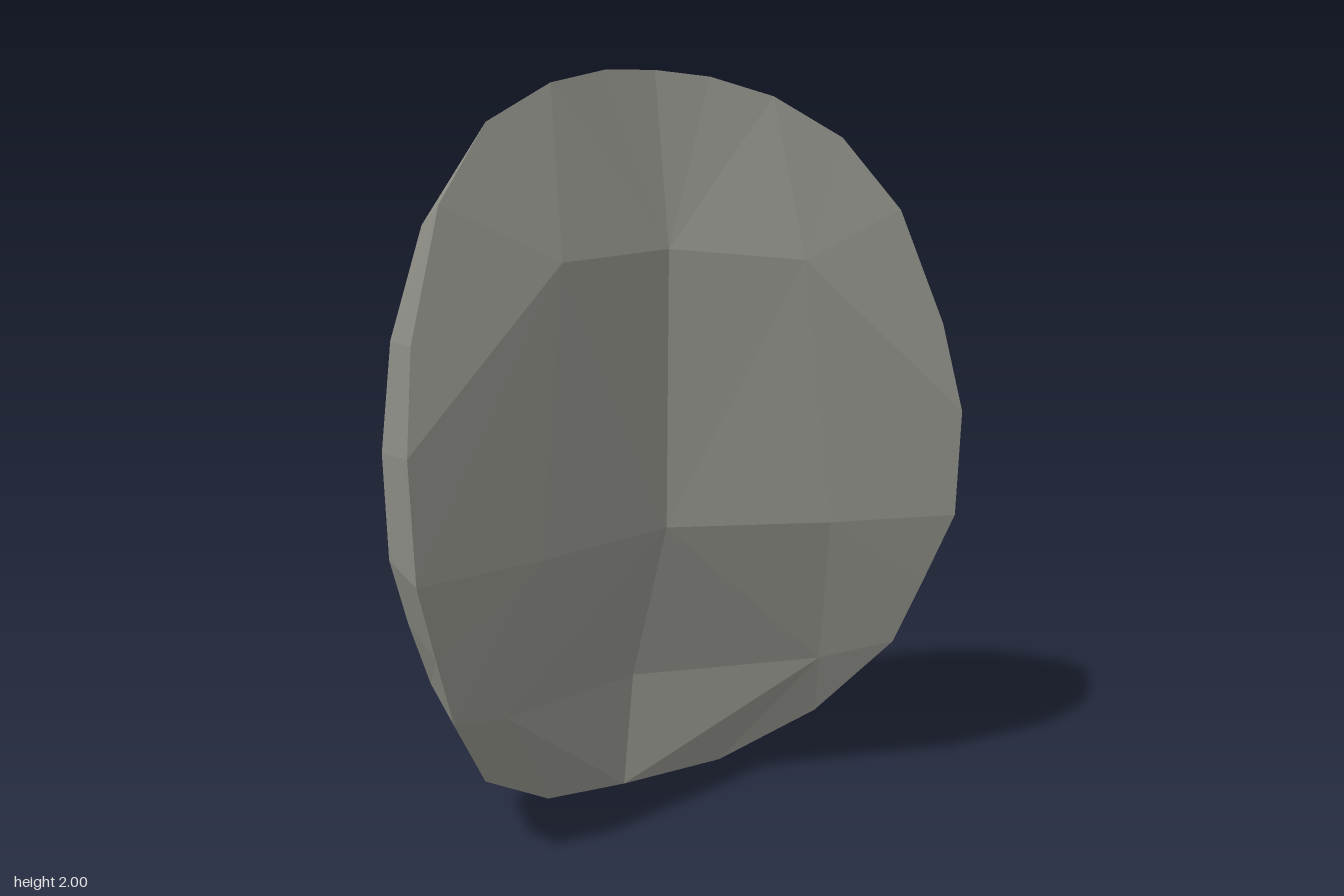
import * as THREE from 'three';

const grey = new THREE.MeshStandardMaterial({ name: 'greyShell', color: 0x8f8f88, flatShading: true });
const blue = new THREE.MeshStandardMaterial({ name: 'blueCheek', color: 0x405b8c });

// Half outline of the rim, from crown to chin
const rim = [
  [0, 2, 0.1], [0.16, 1.99, 0.12], [0.34, 1.945, 0.16], [0.54, 1.84, 0.21], [0.695, 1.645, 0.28],
  [0.8, 1.33, 0.35], [0.835, 1.085, 0.4], [0.82, 0.79, 0.4], [0.755, 0.6, 0.35], [0.69, 0.415, 0.3],
  [0.535, 0.19, 0.14], [0.285, 0.045, 0.01], [0, 0.005, -0.06],
];
// Edge where the side band meets the face
const band = [
  [0, 1.89, -0.135], [0.14, 1.885, -0.125], [0.29, 1.85, -0.1], [0.47, 1.76, -0.06], [0.61, 1.6, -0.02],
  [0.72, 1.32, 0.03], [0.765, 1.05, 0.07], [0.765, 0.79, 0.1], [0.715, 0.62, 0.09], [0.65, 0.45, 0.07],
  [0.5, 0.22, -0.05], [0.25, 0.06, -0.17], [0, 0.03, -0.19],
];
// Centre line of the face [y, z]
const spine = [
  [1.89, -0.135], [1.84, -0.16], [1.76, -0.195], [1.67, -0.235], [1.5, -0.28], [1.34, -0.315], [1.01, -0.365],
  [0.77, -0.355], [0.62, -0.375], [0.53, -0.39], [0.32, -0.355], [0.06, -0.215], [0.03, -0.19],
];
// Cross-section: share of the width against share of the depth
const section = [[1, 0], [0.8, 0.44], [0.52, 0.78], [0.26, 0.92], [0, 1]];
// Eye socket edge with the grid node each point replaces: [row, column, x, y, z]
const socket = [
  [6, 2, 0.58, 0.97, -0.14], [7, 2, 0.62, 0.84, -0.09], [8, 2, 0.57, 0.74, -0.13], [8, 3, 0.47, 0.68, -0.22],
  [8, 4, 0.36, 0.71, -0.28], [7, 4, 0.32, 0.83, -0.295], [6, 4, 0.36, 0.97, -0.28], [6, 3, 0.46, 1.02, -0.24],
];
const eyeNormal = new THREE.Vector3(0.62, 0, -0.78).normalize();
const eyeCentre = new THREE.Vector3(0.455, 0.84, -0.18);

// Triangles given for the +x half; the other half is mirrored
function mirroredMesh(name, triangles, material, smooth) {
  const out = [];
  for (const s of [1, -1]) {
    for (const [a, b, c] of triangles) {
      for (const p of s > 0 ? [a, b, c] : [a, c, b]) out.push(p[0] * s, p[1], p[2]);
    }
  }
  const g = new THREE.BufferGeometry();
  g.setAttribute('position', new THREE.Float32BufferAttribute(out, 3));
  g.computeVertexNormals();
  const m = new THREE.Mesh(g, material);
  m.name = name;
  return m;
}
const same = (a, b) => Math.hypot(a[0] - b[0], a[1] - b[1], a[2] - b[2]) < 1e-6;
function tri(list, a, b, c) {
  if (!same(a, b) && !same(b, c) && !same(a, c)) list.push([a, b, c]);
}
function quad(list, a, b, c, d) {
  tri(list, a, b, c);
  tri(list, a, c, d);
}

function outerShell() {
  const grid = rim.map((r, i) => {
    const b = band[i], [sy, sz] = spine[i];
    return [r, ...section.map(([t, f]) => [b[0] * t, b[1] + (sy - b[1]) * f, b[2] + (sz - b[2]) * f])];
  });
  for (const [i, j, ...p] of socket) grid[i][j] = p;
  const tris = [];
  for (let i = 0; i < grid.length - 1; i++) {
    for (let j = 0; j < 5; j++) {
      if ((i === 6 || i === 7) && (j === 2 || j === 3)) continue; // socket opening
      quad(tris, grid[i][j], grid[i + 1][j], grid[i + 1][j + 1], grid[i][j + 1]);
    }
  }
  return mirroredMesh('maskFace', tris, grey);
}

function eyeSockets() {
  const tris = [];
  const edge = socket.map((p) => p.slice(2));
  const floor = eyeCentre.clone().addScaledVector(eyeNormal, -0.03);
  const inner = edge.map((p) => {
    const d = new THREE.Vector3(...p).sub(eyeCentre);
    d.addScaledVector(eyeNormal, -d.dot(eyeNormal));
    return d.multiplyScalar(0.74).add(floor).toArray();
  });
  edge.forEach((p, k) => {
    const n = (k + 1) % edge.length;
    quad(tris, p, edge[n], inner[n], inner[k]);
    tri(tris, floor.toArray(), inner[k], inner[n]);
  });
  return mirroredMesh('eyeSockets', tris, grey);
}

// Hollow side: shallow valley down the middle
function innerShell() {
  const r = rim;
  const a0 = [0, 1.54, 0.17], a1 = [0.37, 1.51, 0.27];
  const b0 = [0, 0.8, 0.163], b1 = [0.45, 0.79, 0.3];
  const c0 = [0, 0.345, -0.01], c1 = [0.5, 0.37, 0.2];
  const tris = [
    [a0, r[1], r[0]], [a0, r[2], r[1]], [a0, a1, r[2]], [a0, b0, a1], [b0, b1, a1],
    [a1, b1, r[7]], [b0, c0, c1], [b0, c1, b1], [b1, c1, r[9]], [c0, r[12], c1], [c1, r[12], r[11]],
  ];
  for (let i = 2; i < 7; i++) tris.push([a1, r[i + 1], r[i]]);
  for (let i = 7; i < 9; i++) tris.push([b1, r[i + 1], r[i]]);
  for (let i = 9; i < 11; i++) tris.push([c1, r[i + 1], r[i]]);
  return mirroredMesh('maskInside', tris, grey);
}

// Cheek patches laid just above the face surface
function cheekPatches(shell) {
  const lower = [[0.31, 0.55], [0.325, 0.45], [0.34, 0.365], [0.36, 0.345], [0.39, 0.36], [0.44, 0.46],
    [0.52, 0.545], [0.575, 0.575], [0.592, 0.598]];
  const ray = new THREE.Raycaster();
  const onFace = (x, y) => {
    ray.set(new THREE.Vector3(x, y, -2), new THREE.Vector3(0, 0, 1));
    const hit = ray.intersectObject(shell)[0];
    return [x + 0.004, y, (hit ? hit.point.z : -0.2) - 0.006];
  };
  const cols = [];
  for (let i = 0; i < lower.length - 1; i++) {
    for (let k = 0; k < 3; k++) {
      const x = THREE.MathUtils.lerp(lower[i][0], lower[i + 1][0], k / 3);
      const y = THREE.MathUtils.lerp(lower[i][1], lower[i + 1][1], k / 3);
      const top = 0.615 - (i === 0 && k === 0 ? 0.012 : 0);
      cols.push(Array.from({ length: 13 }, (_, v) => onFace(x, top + (y - top) * v / 12)));
    }
  }
  const tris = [];
  for (let i = 0; i < cols.length - 1; i++) {
    for (let v = 0; v < 12; v++) quad(tris, cols[i + 1][v], cols[i + 1][v + 1], cols[i][v + 1], cols[i][v]);
  }
  return mirroredMesh('cheekPatches', tris, blue);
}

export function createModel() {
  const group = new THREE.Group();
  group.name = 'mask';
  const shell = outerShell();
  shell.updateMatrixWorld();
  group.add(shell, innerShell(), eyeSockets(), cheekPatches(shell));

  // Flattened eyeballs
  for (const s of [1, -1]) {
    const eye = new THREE.Mesh(new THREE.SphereGeometry(0.1, 10, 6).scale(1, 0.4, 1), grey);
    const n = eyeNormal.clone();
    n.x *= s;
    eye.quaternion.setFromUnitVectors(new THREE.Vector3(0, 1, 0), n);
    eye.position.set(eyeCentre.x * s, eyeCentre.y, eyeCentre.z).addScaledVector(n, -0.025);
    eye.name = s > 0 ? 'leftEye' : 'rightEye';
    group.add(eye);
  }
  return group;
}
